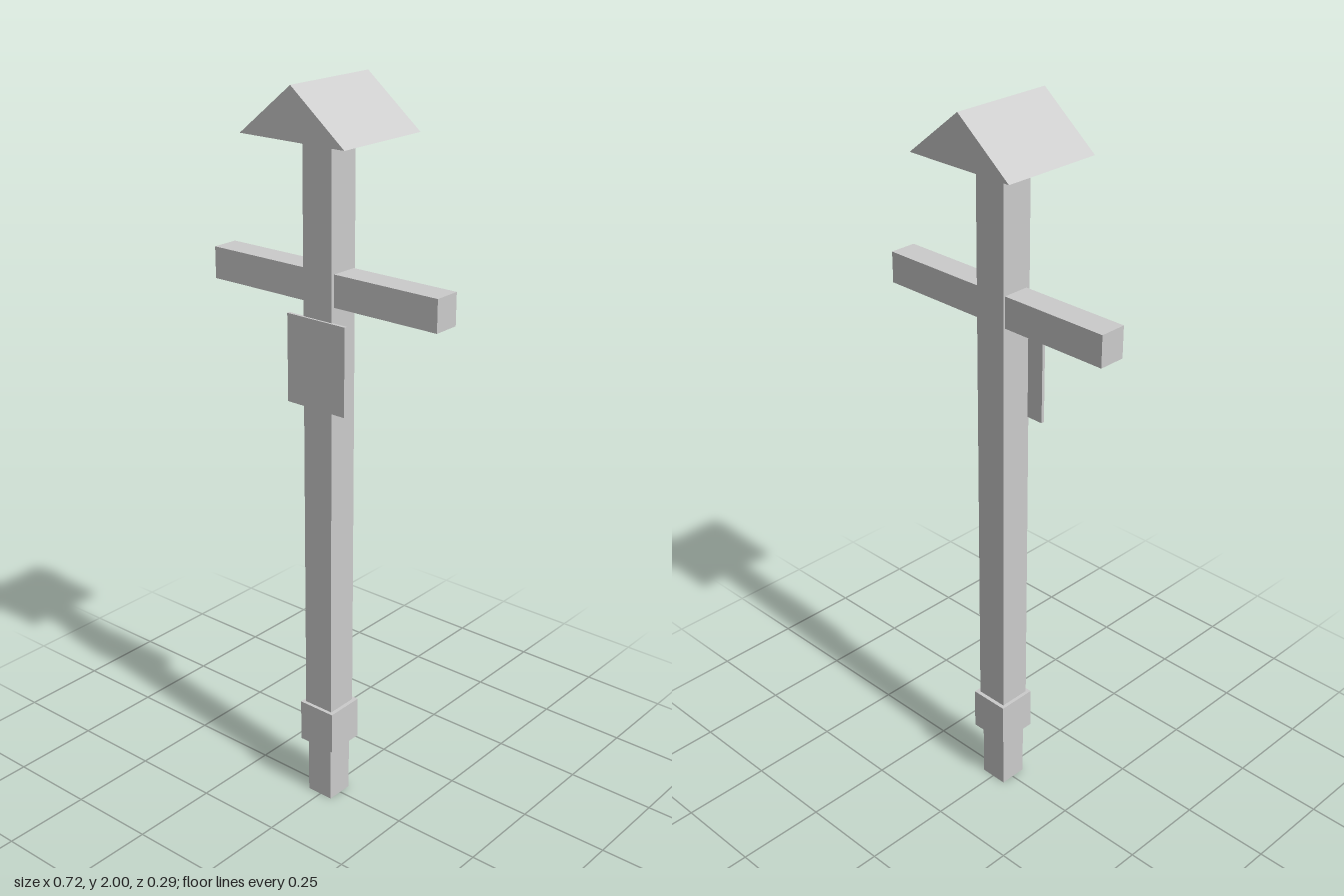
import * as THREE from 'three';

export function createModel() {
  const model = new THREE.Group();
  const grey = new THREE.MeshStandardMaterial({ color: 0xcccccc });
  grey.name = 'light grey';
  grey.side = THREE.DoubleSide;

  // Box given by its lower and upper bounds on each axis
  const addBox = (name, [x0, x1], [y0, y1], [z0, z1]) => {
    const mesh = new THREE.Mesh(new THREE.BoxGeometry(x1 - x0, y1 - y0, z1 - z0), grey);
    mesh.position.set((x0 + x1) / 2, (y0 + y1) / 2, (z0 + z1) / 2);
    mesh.name = name;
    model.add(mesh);
  };

  addBox('foot', [-0.042, 0.038], [0, 0.17], [-0.038, 0.042]);
  addBox('collar', [-0.057, 0.055], [0.17, 0.29], [-0.055, 0.057]);
  addBox('post', [-0.047, 0.044], [0.29, 1.87], [-0.044, 0.047]);
  addBox('crossbar', [-0.359, 0.358], [1.45, 1.535], [-0.039, 0.036]);
  addBox('signPlate', [-0.096, 0.091], [1.175, 1.413], [0.044, 0.053]);

  // Hollow gabled roof: two slopes and two gable ends, open underneath
  const w = 0.162, eave = 1.87, ridge = 2, back = -0.144, front = 0.142;
  const [fl, fr, ft] = [[-w, eave, front], [w, eave, front], [0, ridge, front]];
  const [bl, br, bt] = [[-w, eave, back], [w, eave, back], [0, ridge, back]];
  const triangles = [
    fl, fr, ft, // front gable
    br, bl, bt, // back gable
    fr, br, bt, fr, bt, ft, // left slope
    bl, fl, ft, bl, ft, bt, // right slope
  ];
  const roofGeometry = new THREE.BufferGeometry();
  roofGeometry.setAttribute('position', new THREE.Float32BufferAttribute(triangles.flat(), 3));
  roofGeometry.computeVertexNormals();
  const roof = new THREE.Mesh(roofGeometry, grey);
  roof.name = 'roof';
  model.add(roof);

  return model;
}
